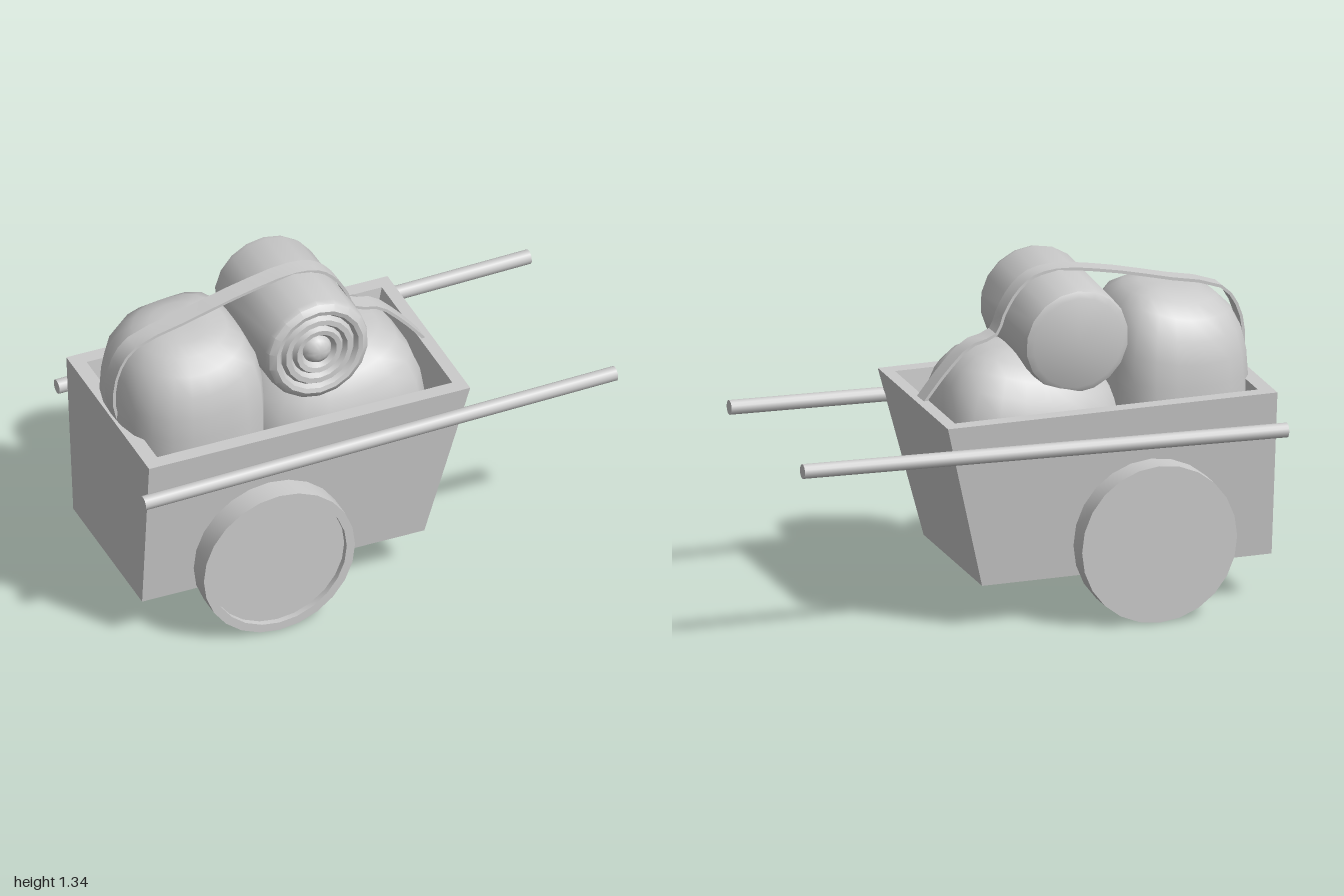
import * as THREE from 'three';
import { mergeVertices, toCreasedNormals } from 'three/addons/utils/BufferGeometryUtils.js';

const material = new THREE.MeshStandardMaterial({ color: 0xcccccc });

function addPart(parent, name, geometry, position = [0, 0, 0]) {
  const mesh = new THREE.Mesh(geometry, material);
  mesh.name = name;
  mesh.position.set(...position);
  parent.add(mesh);
  return mesh;
}

// Open tub: rectangular rings running up the outside, over the rim and down inside
function tubGeometry() {
  const rings = [ // y, x0, x1, half width
    [0.18, -0.97, 0.225, 0.337],
    [0.86, -0.97, 0.39, 0.405],
    [0.86, -0.91, 0.34, 0.345],
    [0.24, -0.91, 0.19, 0.283],
  ].map(([y, x0, x1, w]) => [[x0, y, w], [x1, y, w], [x1, y, -w], [x0, y, -w]]);
  const positions = [];
  const quad = (a, b, c, d) => positions.push(...a, ...b, ...c, ...a, ...c, ...d);
  for (let i = 0; i < 3; i++) {
    for (let j = 0; j < 4; j++) {
      const k = (j + 1) % 4;
      quad(rings[i][j], rings[i][k], rings[i + 1][k], rings[i + 1][j]);
    }
  }
  quad(...[...rings[0]].reverse());
  quad(...rings[3]);
  const geometry = new THREE.BufferGeometry();
  geometry.setAttribute('position', new THREE.Float32BufferAttribute(positions, 3));
  geometry.computeVertexNormals();
  return geometry;
}

// Stuffed sack: a sphere squared off by separate exponents for the plan (each end) and the height
function sackGeometry(size, planLeft, planRight, upright, lean) {
  const sphere = new THREE.SphereGeometry(1, 24, 16);
  sphere.deleteAttribute('normal');
  sphere.deleteAttribute('uv');
  const geometry = mergeVertices(sphere);
  const p = geometry.attributes.position;
  for (let i = 0; i < p.count; i++) {
    const x = p.getX(i), y = p.getY(i), z = p.getZ(i);
    const n = x < 0 ? planLeft : planRight;
    const plan = Math.pow(Math.pow(Math.abs(x), n) + Math.pow(Math.abs(z), n), upright / n);
    const s = Math.pow(plan + Math.pow(Math.abs(y), upright), -1 / upright);
    p.setXYZ(i, x * s * size[0], y * s * size[1] + lean * x * s * Math.max(0, y * s), z * s * size[2]);
  }
  geometry.computeVertexNormals();
  return geometry;
}

// Turned shape around the z axis
function turned(profile, segments) {
  const geometry = new THREE.LatheGeometry(profile.map(([r, z]) => new THREE.Vector2(r, z)), segments);
  geometry.rotateX(Math.PI / 2);
  return toCreasedNormals(geometry, 0.7);
}

// Flat band following a path in the xy plane
function strapGeometry(points, width, thickness) {
  const path = new THREE.CatmullRomCurve3(points.map(([x, y]) => new THREE.Vector3(x, y, 0)), false, 'centripetal');
  const outer = path.getPoints(30);
  const inner = outer.map((p, i) => {
    const t = path.getTangent(i / 30);
    return new THREE.Vector2(p.x + t.y * thickness, p.y - t.x * thickness);
  });
  const shape = new THREE.Shape([...outer.map((p) => new THREE.Vector2(p.x, p.y)), ...inner.reverse()]);
  const geometry = new THREE.ExtrudeGeometry(shape, { depth: width, bevelEnabled: false });
  geometry.translate(0, 0, -width / 2);
  return toCreasedNormals(geometry, 0.6);
}

export function createModel() {
  const cart = new THREE.Group();
  cart.name = 'loadedCart';

  addPart(cart, 'tub', tubGeometry(), [0, 0, -0.005]);

  // Wheels, each with a shallow dish on its front face
  const wheel = turned([[0, -0.05], [0.32, -0.05], [0.32, 0.05], [0.285, 0.05], [0.285, 0.025], [0, 0.025]], 24);
  addPart(cart, 'frontWheel', wheel, [-0.455, 0.32, 0.436]);
  addPart(cart, 'backWheel', wheel, [-0.455, 0.32, -0.44]);

  // Long shafts, rising slightly towards the handles
  const shaft = new THREE.CylinderGeometry(0.029, 0.029, 2, 14);
  for (const [name, z] of [['frontShaft', 0.41], ['backShaft', -0.435]]) {
    addPart(cart, name, shaft, [0, 0.737, z]).rotation.z = -Math.PI / 2 + 0.026;
  }

  // Load
  addPart(cart, 'tallSack', sackGeometry([0.29, 0.42, 0.322], 2.5, 3.6, 3.2, 0.035), [-0.67, 0.8, 0.003]);
  addPart(cart, 'lowSack', sackGeometry([0.375, 0.385, 0.322], 2.5, 3.6, 2.6, 0.05), [-0.07, 0.65, 0.003]);

  // Rolled blanket with the coils showing on its front end
  const roll = turned([
    [0, -0.28], [0.185, -0.28], [0.21, -0.267], [0.218, -0.24],
    [0.218, 0.24], [0.21, 0.264], [0.185, 0.28], [0.167, 0.275], [0.155, 0.255],
    [0.142, 0.275], [0.12, 0.275], [0.107, 0.255], [0.095, 0.275], [0.075, 0.272],
    [0.06, 0.25], [0.048, 0.272], [0.028, 0.284], [0, 0.287],
  ], 18);
  addPart(cart, 'blanketRoll', roll, [-0.2, 1.115, 0.014]).rotation.x = -0.045;

  // Strap holding the load down
  const strap = strapGeometry([
    [-0.955, 0.85], [-0.977, 0.95], [-0.955, 1.09], [-0.885, 1.185], [-0.65, 1.25],
    [-0.4, 1.31], [-0.2, 1.338], [-0.09, 1.318], [-0.02, 1.26], [0.03, 1.18], [0.065, 1.1],
    [0.17, 1.065], [0.28, 0.96], [0.37, 0.85],
  ], 0.075, 0.012);
  addPart(cart, 'strap', strap, [0, 0, -0.005]).rotation.y = 0.026;

  return cart;
}
